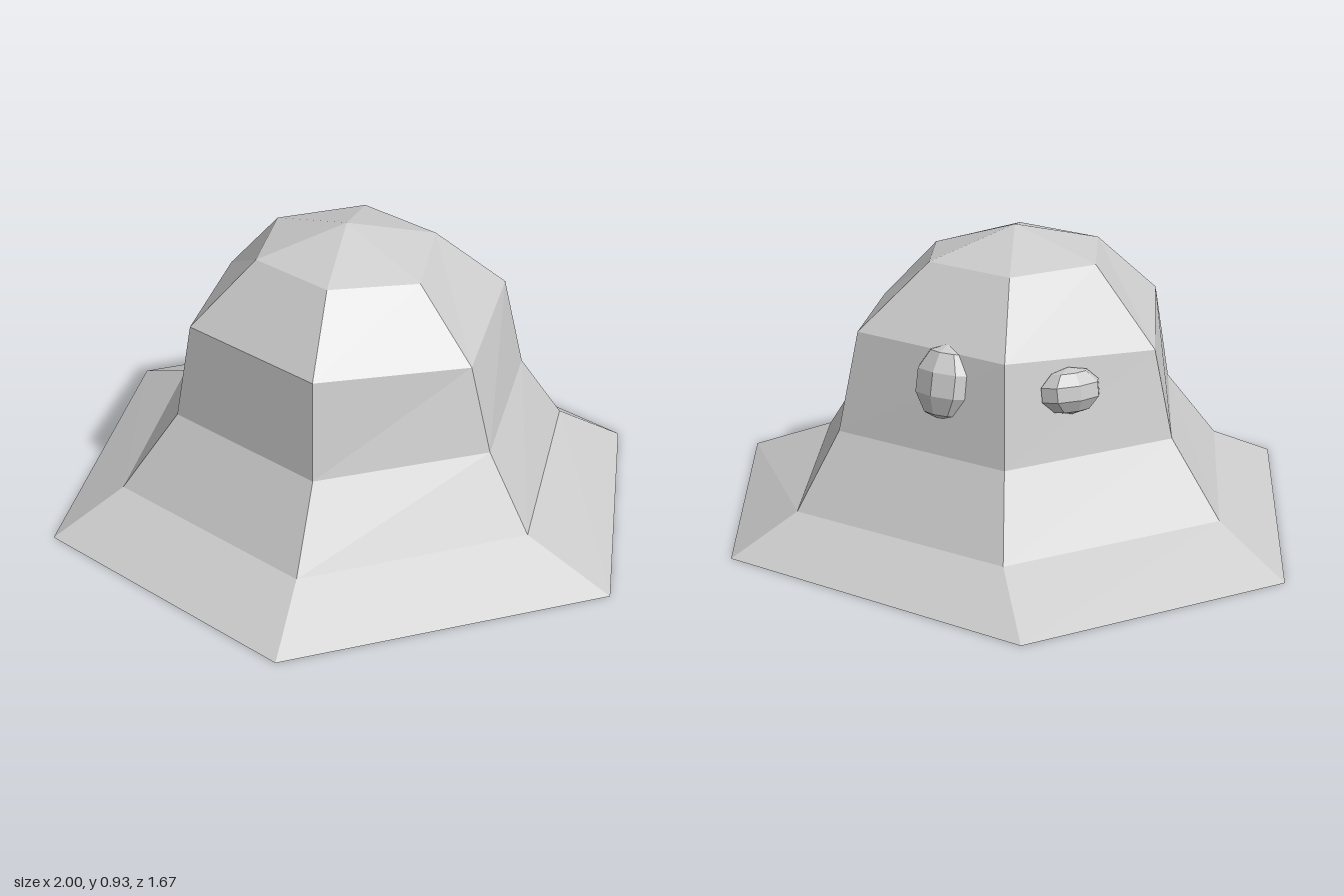
import * as THREE from 'three';

const material = new THREE.MeshStandardMaterial({ color: 0xcccccc, flatShading: true });

// Hexagonal cross-sections from the hem up: corners run +x, front, -x, back
const RINGS = [
  [[1, 0, -0.07], [0.475, 0, 0.835], [-0.475, 0, 0.835], [-1, 0, -0.07], [-0.57, 0, -0.835], [0.475, 0, -0.835]],
  [[0.72, 0.12, -0.02], [0.355, 0.12, 0.615], [-0.385, 0.12, 0.615], [-0.75, 0.12, -0.02], [-0.385, 0.12, -0.645], [0.355, 0.12, -0.66]],
  [[0.565, 0.35, -0.02], [0.275, 0.35, 0.455], [-0.295, 0.35, 0.455], [-0.58, 0.35, -0.02], [-0.3, 0.35, -0.51], [0.295, 0.35, -0.52]],
  [[0.485, 0.615, -0.02], [0.24, 0.655, 0.415], [-0.265, 0.655, 0.415], [-0.515, 0.62, -0.02], [-0.265, 0.655, -0.455], [0.265, 0.655, -0.455]],
  [[0.28, 0.825, -0.02], [0.13, 0.85, 0.23], [-0.16, 0.85, 0.23], [-0.305, 0.85, -0.02], [-0.16, 0.85, -0.27], [0.13, 0.85, -0.27]],
];
const APEX = [-0.015, 0.93, -0.02];

function bodyGeometry() {
  const positions = [];
  const tri = (a, b, c) => positions.push(...a, ...b, ...c);
  const top = RINGS[RINGS.length - 1];
  for (let i = 0; i < 6; i++) {
    const j = (i + 1) % 6;
    // side walls
    for (let r = 0; r < RINGS.length - 1; r++) {
      const low = RINGS[r], high = RINGS[r + 1];
      tri(low[i], high[i], low[j]);
      tri(high[i], high[j], low[j]);
    }
    // cap and base
    tri(top[i], APEX, top[j]);
    tri(RINGS[0][i], RINGS[0][j], [0, 0, 0]);
  }
  const geometry = new THREE.BufferGeometry();
  geometry.setAttribute('position', new THREE.Float32BufferAttribute(positions, 3));
  geometry.computeVertexNormals();
  return geometry;
}

// Faceted pebble: half-sizes are width, height, depth; turn and tilt follow the wall
function addEye(group, name, position, size, turn, tilt) {
  const eye = new THREE.Mesh(new THREE.SphereGeometry(1, 8, 5), material);
  eye.name = name;
  eye.position.set(...position);
  eye.scale.set(...size);
  eye.rotation.set(tilt, turn, 0, 'YXZ');
  group.add(eye);
}

export function createModel() {
  const group = new THREE.Group();
  const body = new THREE.Mesh(bodyGeometry(), material);
  body.name = 'body';
  group.add(body);

  // Eyes: a tall one on the back wall, a flatter one on the neighbouring wall
  addEye(group, 'tallEye', [-0.055, 0.56, -0.458], [0.1, 0.115, 0.072], Math.PI, -0.2);
  addEye(group, 'flatEye', [-0.388, 0.55, -0.292], [0.1, 0.07, 0.07], Math.PI * 4 / 3, -0.2);
  return group;
}
